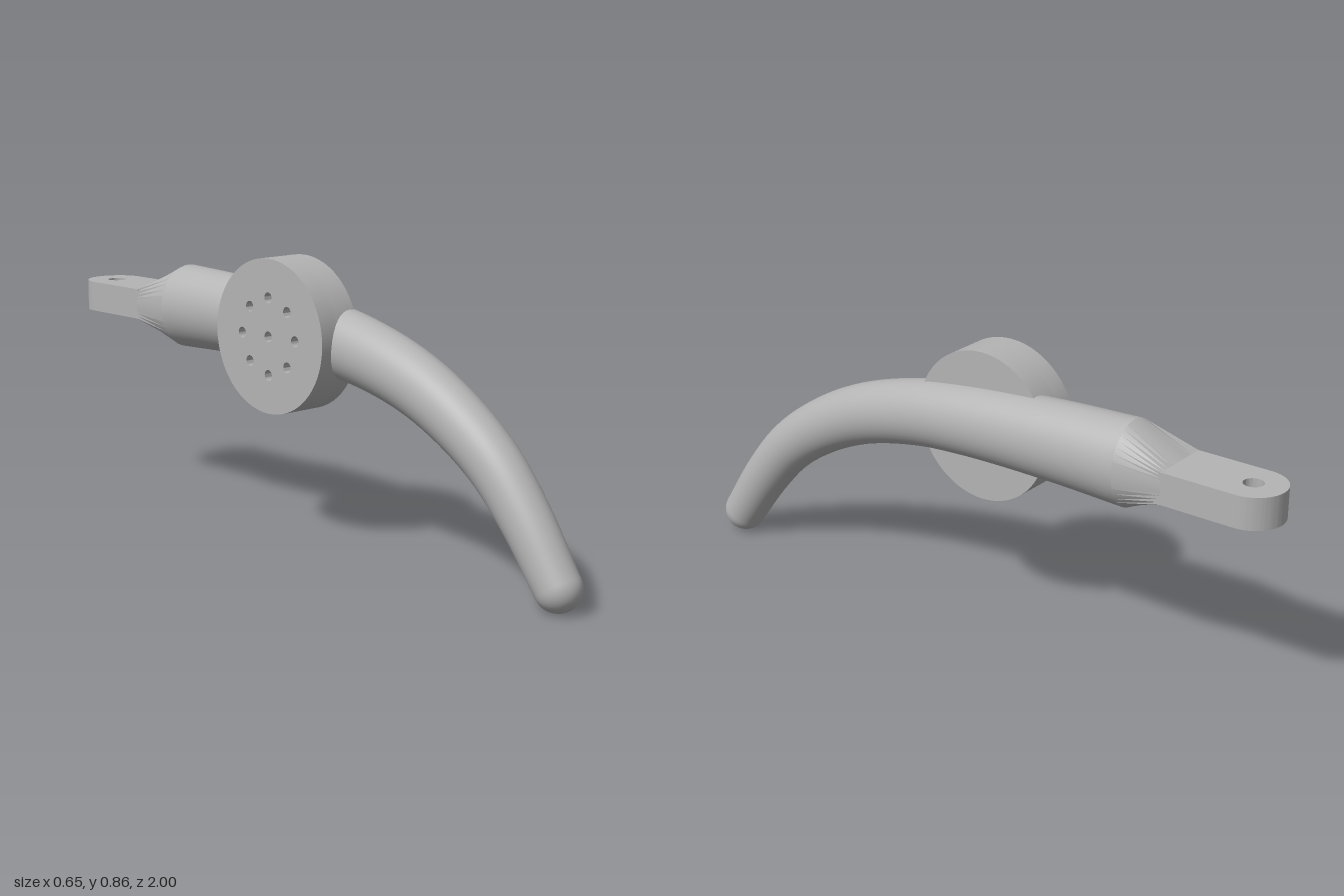
import * as THREE from 'three';
import { toCreasedNormals } from 'three/addons/utils/BufferGeometryUtils.js';

const SEG = 40;

// Skin a list of rings (each an array of SEG Vector3) running along +z
function loft(rings) {
  const pos = [], idx = [];
  rings.forEach(r => r.forEach(p => pos.push(p.x, p.y, p.z)));
  for (let i = 0; i < rings.length - 1; i++) {
    for (let j = 0; j < SEG; j++) {
      const k = (j + 1) % SEG, a = i * SEG, b = a + SEG;
      idx.push(a + j, a + k, b + j, a + k, b + k, b + j);
    }
  }
  const g = new THREE.BufferGeometry();
  g.setAttribute('position', new THREE.Float32BufferAttribute(pos, 3));
  g.setIndex(idx);
  g.computeVertexNormals();
  return g;
}

const angles = Array.from({ length: SEG }, (_, j) => (j / SEG) * Math.PI * 2);

// Elliptical ring across the tangent t (which lies in the yz plane)
function ellipse(c, t, w, h) {
  return angles.map(a => new THREE.Vector3(
    c.x + w * Math.cos(a),
    c.y + h * Math.sin(a) * t.z,
    c.z - h * Math.sin(a) * t.y));
}

export function createModel() {
  const metal = new THREE.MeshStandardMaterial({ color: 0xb4b4b4 });
  metal.name = 'grey metal';
  const model = new THREE.Group();
  model.name = 'leverHandle';
  const add = (name, geometry) => {
    const m = new THREE.Mesh(geometry, metal);
    m.name = name;
    model.add(m);
    return m;
  };

  // Curved grip: centre line with tapering elliptical section
  const path = new THREE.CatmullRomCurve3([
    [-0.56, 0.655], [-0.31, 0.653], [0, 0.638], [0.207, 0.612], [0.414, 0.555],
    [0.58, 0.475], [0.73, 0.367], [0.845, 0.238], [0.963, 0.07],
  ].map(([z, y]) => new THREE.Vector3(0, y, z)));
  const rings = [];
  const N = 48;
  const width = u => THREE.MathUtils.lerp(0.112, 0.066, u);
  const height = u => THREE.MathUtils.lerp(0.13, 0.068, u);
  for (let i = 0; i <= N; i++) {
    const u = i / N;
    rings.push(ellipse(path.getPointAt(u), path.getTangentAt(u), width(u), height(u)));
  }
  // Rounded tip
  const end = path.getPointAt(1), dir = path.getTangentAt(1);
  for (let i = 1; i <= 10; i++) {
    const a = (i / 10) * Math.PI / 2;
    const c = end.clone().addScaledVector(dir, 0.067 * Math.sin(a));
    rings.push(ellipse(c, dir, 0.066 * Math.cos(a), 0.068 * Math.cos(a)));
  }
  add('grip', loft(rings));

  // Round-to-rectangle neck between grip and tab
  const clamp = v => THREE.MathUtils.clamp(v * Math.SQRT2, -1, 1);
  const rect = angles.map(a => new THREE.Vector3(
    0.095 * clamp(Math.cos(a)), 0.6525 + 0.0475 * clamp(Math.sin(a)), -0.707));
  add('neck', toCreasedNormals(loft([rect, rings[0].map(p => p.clone())]), 0.3));

  // Flat tab with rounded end and bolt hole
  const tabShape = new THREE.Shape();
  tabShape.moveTo(0.095, -0.935);
  tabShape.lineTo(0.095, -0.7);
  tabShape.lineTo(-0.095, -0.7);
  tabShape.lineTo(-0.095, -0.935);
  tabShape.absarc(0, -0.935, 0.095, Math.PI, Math.PI * 2, false);
  const bolt = new THREE.Path();
  bolt.absarc(0, -0.935, 0.029, 0, Math.PI * 2, true);
  tabShape.holes.push(bolt);
  const tab = new THREE.ExtrudeGeometry(tabShape, { depth: 0.095, bevelEnabled: false, curveSegments: 24 });
  tab.rotateX(Math.PI / 2);
  tab.translate(0, 0.7, 0);
  add('tab', toCreasedNormals(tab, 0.5));

  // Side disc: drilled front layer on a solid backing
  const disc = (name, depth, x, drilled) => {
    const s = new THREE.Shape();
    s.absarc(0, 0, 0.23, 0, Math.PI * 2, false);
    for (let i = 0; drilled && i < 9; i++) {
      const r = i < 8 ? 0.115 : 0, a = i * Math.PI / 4;
      const h = new THREE.Path();
      h.absarc(r * Math.cos(a), r * Math.sin(a), 0.016, 0, Math.PI * 2, true);
      s.holes.push(h);
    }
    const g = new THREE.ExtrudeGeometry(s, { depth, bevelEnabled: false, curveSegments: 32 });
    g.rotateY(-Math.PI / 2);
    g.translate(x, 0.633, -0.041);
    add(name, toCreasedNormals(g, 0.5));
  };
  disc('discBacking', 0.082, 0.014, false);
  disc('discDrilledFace', 0.06, -0.068, true);

  // The whole lever is turned slightly about the vertical
  model.rotation.y = Math.PI / 12;
  model.position.set(0.007, 0, 0);
  return model;
}
